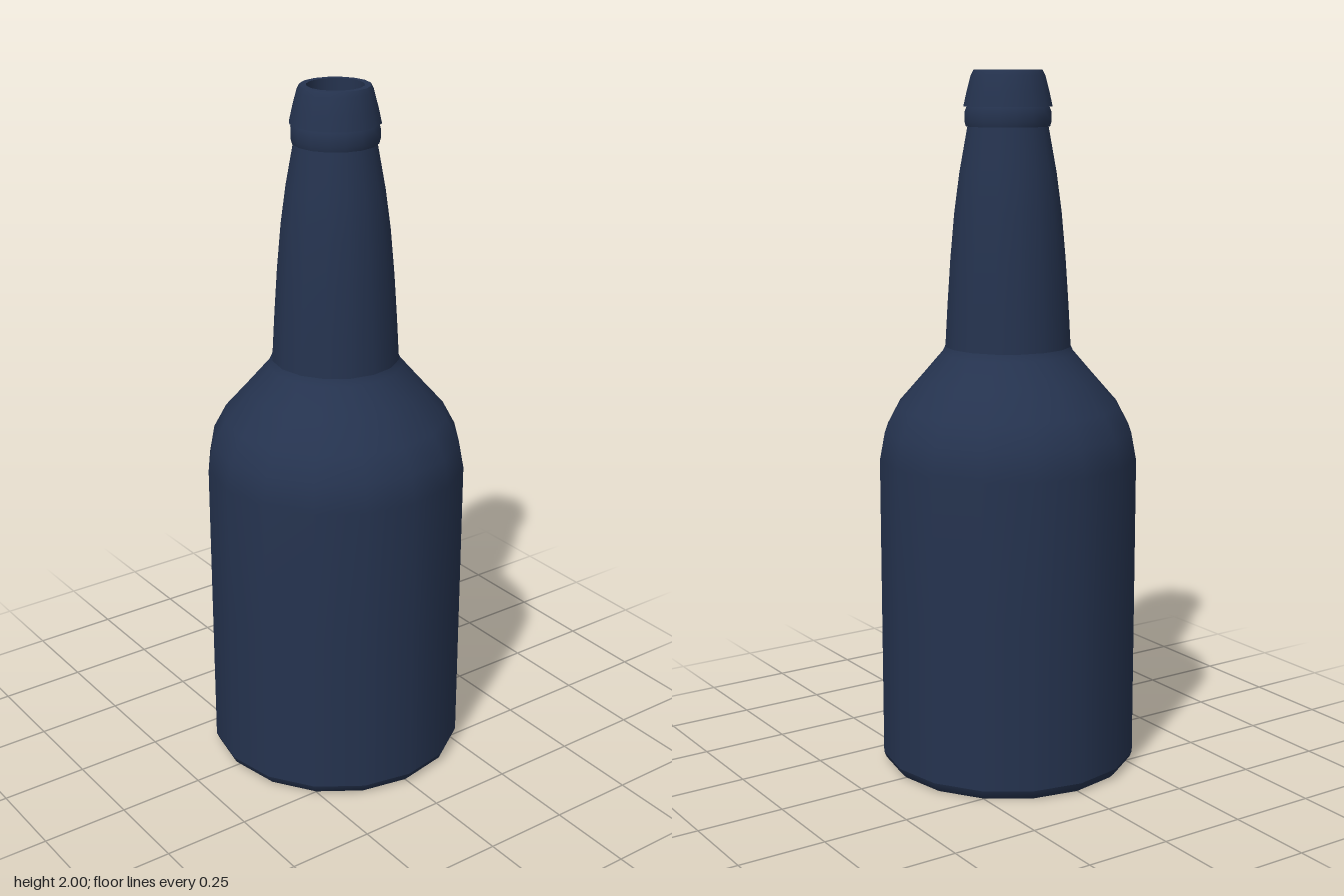
import * as THREE from 'three';

const SIDES = 16;

export function createModel() {
  const group = new THREE.Group();
  group.name = 'bottle';
  const glass = new THREE.MeshStandardMaterial({ color: 0x25334f });

  // Each part turns a [radius, height] profile; separate parts keep sharp edges between them
  const turn = (name, profile) => {
    const points = profile.map(([r, y]) => new THREE.Vector2(r, y));
    const mesh = new THREE.Mesh(new THREE.LatheGeometry(points, SIDES), glass);
    mesh.name = name;
    group.add(mesh);
  };

  turn('base', [[0, 0], [0.352, 0]]);
  turn('foot', [[0.352, 0], [0.365, 0.013], [0.372, 0.03]]);
  turn('body', [
    [0.372, 0.03], [0.372, 0.5], [0.372, 0.91], [0.357, 0.99], [0.32, 1.06],
    [0.25, 1.14], [0.19, 1.21], [0.181, 1.23],
  ]);
  turn('neck', [
    [0.181, 1.23], [0.174, 1.35], [0.165, 1.48], [0.153, 1.61], [0.138, 1.72], [0.115, 1.845],
  ]);

  // Collar ring under the lip
  turn('collarUnderside', [[0.113, 1.845], [0.119, 1.845]]);
  turn('collar', [[0.119, 1.845], [0.123, 1.86], [0.123, 1.885], [0.117, 1.9]]);

  // Lip, rim and hollow mouth
  turn('lipUnderside', [[0.115, 1.9], [0.126, 1.9]]);
  turn('lip', [[0.126, 1.9], [0.117, 1.94], [0.105, 1.985], [0.097, 2]]);
  turn('rim', [[0.097, 2], [0.079, 2]]);
  turn('mouthWall', [[0.079, 2], [0.079, 1.7]]);
  turn('mouthFloor', [[0.079, 1.7], [0, 1.7]]);

  return group;
}
